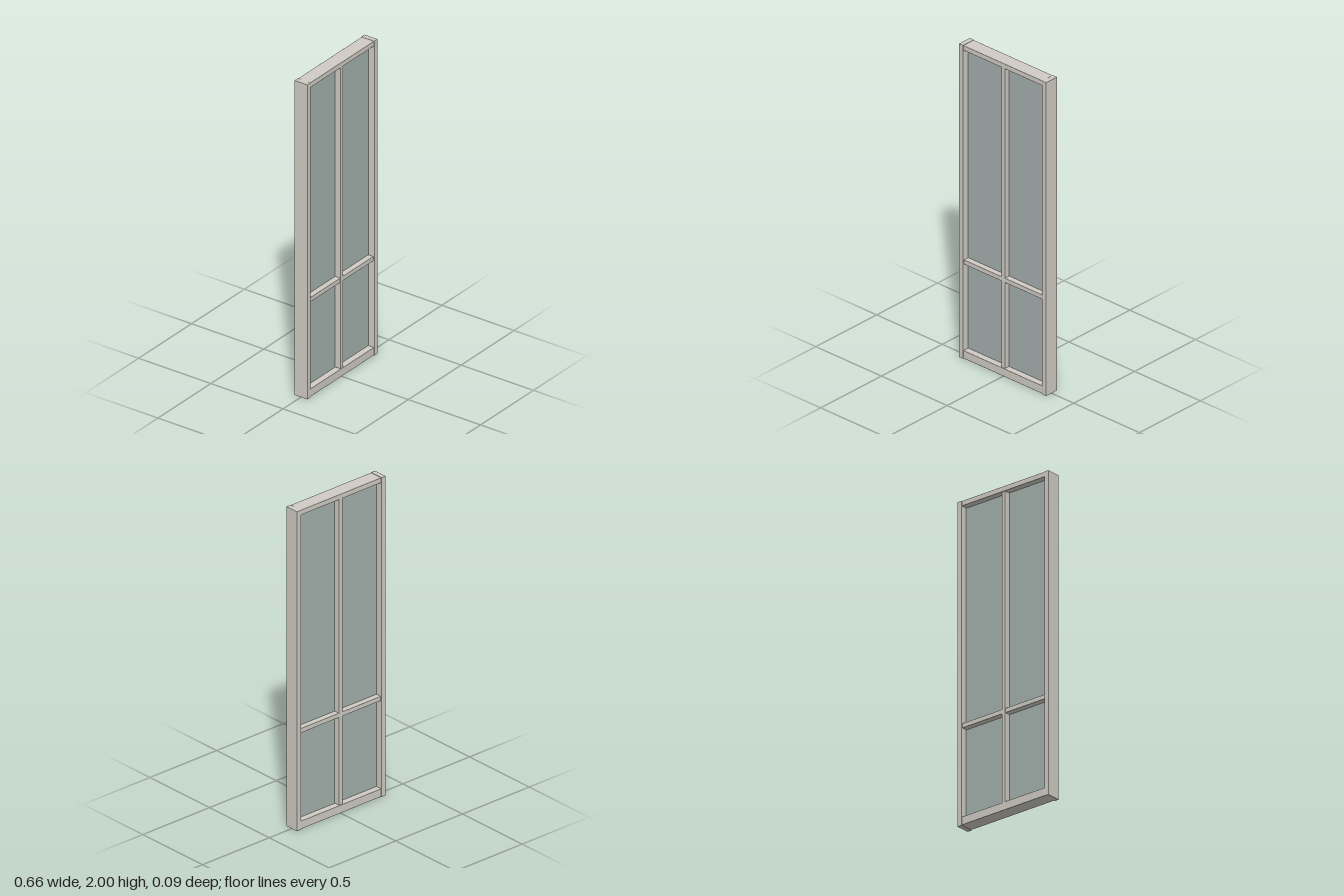
import * as THREE from 'three';
import { RoundedBoxGeometry } from 'three/addons/geometries/RoundedBoxGeometry.js';

export function createModel() {
  const model = new THREE.Group();
  model.name = 'windowPanel';
  const frame = new THREE.MeshStandardMaterial({ color: 0xd0ccc4 });
  frame.name = 'warm grey frame';
  const glass = new THREE.MeshStandardMaterial({ color: 0xa3afac });
  glass.name = 'grey green glass';

  // Softly eased bar spanning x0..x1 and y0..y1, centred on z
  function bar(name, x0, x1, y0, y1, depth) {
    const geometry = new RoundedBoxGeometry(x1 - x0, y1 - y0, depth, 1, 0.002);
    const mesh = new THREE.Mesh(geometry, frame);
    mesh.name = name;
    mesh.position.set((x0 + x1) / 2, (y0 + y1) / 2, 0);
    model.add(mesh);
  }

  // Outer frame
  bar('rightStile', -0.332, -0.301, 0, 2, 0.09);
  bar('leftStile', 0.301, 0.332, 0, 2, 0.09);
  bar('topRail', -0.301, 0.301, 1.968, 1.999, 0.086);
  bar('bottomRail', -0.301, 0.301, 0.003, 0.053, 0.086);

  // Glazing bars: one tall upright with a crossbar on each side
  bar('uprightBar', -0.013, 0.013, 0.053, 1.968, 0.08);
  bar('rightCrossbar', -0.301, -0.012, 0.602, 0.63, 0.078);
  bar('leftCrossbar', 0.012, 0.301, 0.602, 0.63, 0.078);

  // Four thin panes
  for (const side of [-1, 1]) {
    for (const [name, y0, y1] of [['lower', 0.05, 0.605], ['upper', 0.627, 1.97]]) {
      const pane = new THREE.Mesh(new THREE.BoxGeometry(0.292, y1 - y0, 0.008), glass);
      pane.name = name + (side < 0 ? 'RightPane' : 'LeftPane');
      pane.position.set(side * 0.157, (y0 + y1) / 2, 0);
      model.add(pane);
    }
  }
  return model;
}
